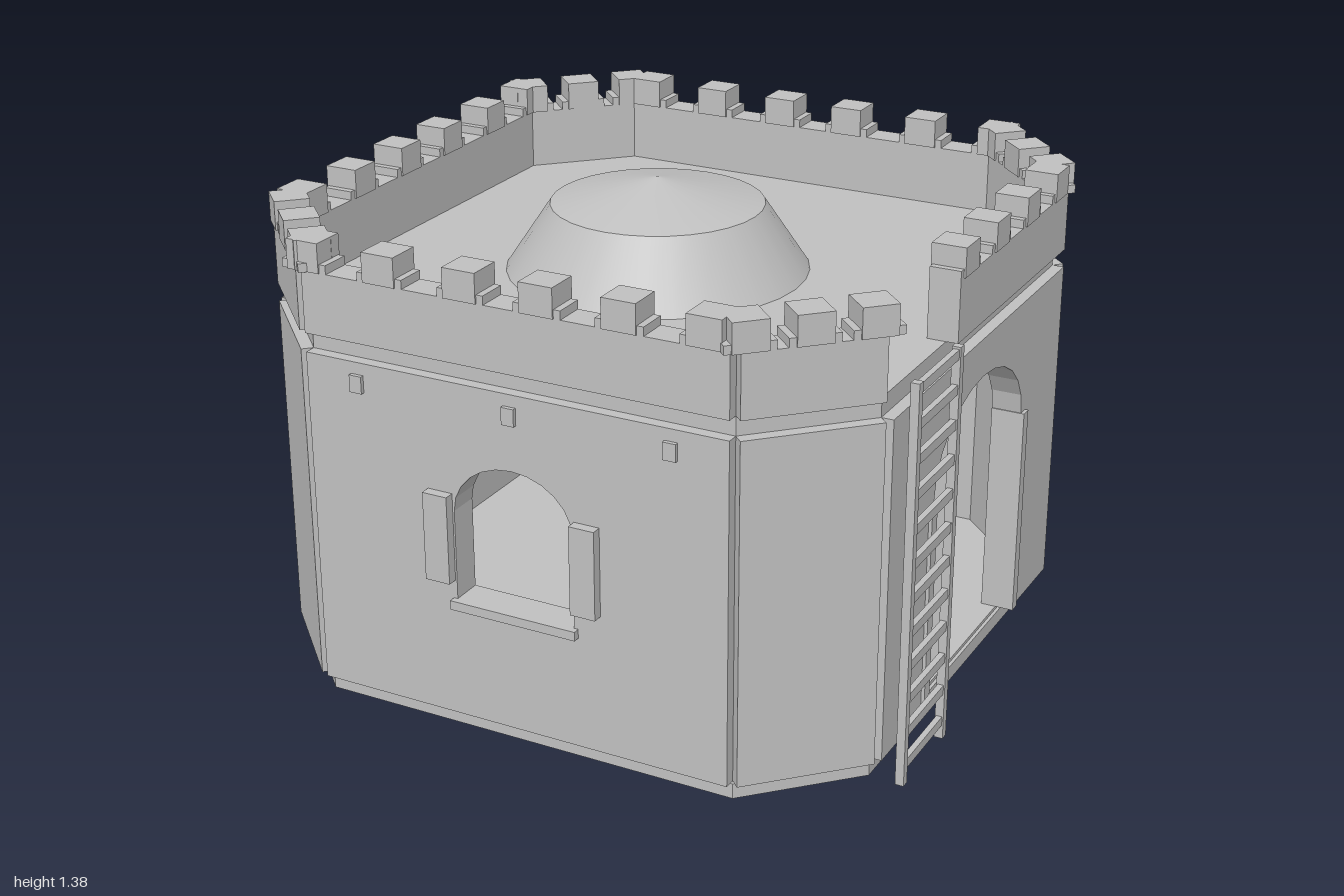
import * as THREE from 'three';

const R = 0.915, F = 0.64;                       // octagon: half width, half length of a main side
const OUT = 0.035, THICK = 0.09;                 // wall projection and thickness

export function createModel() {
  const stone = new THREE.MeshStandardMaterial({ color: 0xc0c0c0 });
  stone.name = 'stone';
  const model = new THREE.Group();
  model.name = 'castleKeep';
  const castle = new THREE.Group();
  castle.name = 'castle';
  castle.position.set(-0.02, 0, -0.01);
  model.add(castle);

  const add = (parent, name, geometry, x = 0, y = 0, z = 0) => {
    const m = new THREE.Mesh(geometry, stone);
    m.name = name;
    m.position.set(x, y, z);
    parent.add(m);
    return m;
  };
  // box given by its extents
  const box = (parent, name, x0, x1, y0, y1, z0, z1) =>
    add(parent, name, new THREE.BoxGeometry(x1 - x0, y1 - y0, z1 - z0),
      (x0 + x1) / 2, (y0 + y1) / 2, (z0 + z1) / 2);

  // octagonal slab
  const slab = (name, r, y0, y1) => {
    const s = new THREE.Shape([[r, -F], [r, F], [F, r], [-F, r], [-r, F], [-r, -F], [-F, -r], [F, -r]]
      .map(p => new THREE.Vector2(...p)));
    const g = new THREE.ExtrudeGeometry(s, { depth: y1 - y0, bevelEnabled: false }).rotateX(-Math.PI / 2);
    add(castle, name, g, 0, y0, 0);
  };
  slab('base', R, 0, 0.045);
  slab('floor', R - 0.01, 0.045, 0.055);
  slab('roofDeck', R, 1.055, 1.11);

  // points over an arch, from right foot to left foot
  const arch = (half, y0, spring, top) => {
    const pts = [new THREE.Vector2(half, y0)];
    for (let i = 0; i <= 12; i++) {
      const a = Math.PI * i / 12;
      pts.push(new THREE.Vector2(half * Math.cos(a), spring + (top - spring) * Math.sin(a)));
    }
    pts.push(new THREE.Vector2(-half, y0));
    return pts;
  };

  // wall panel, optionally with a window or door opening
  const wall = (side, half, opening) => {
    const y0 = 0.055, y1 = 1.055;
    const v = (x, y) => new THREE.Vector2(x, y);
    let shape;
    if (opening === 'door') {
      shape = new THREE.Shape([v(-half, y0), ...arch(0.335, y0, 0.7, 0.94).reverse(),
        v(half, y0), v(half, y1), v(-half, y1)]);
    } else {
      shape = new THREE.Shape([v(-half, y0), v(half, y0), v(half, y1), v(-half, y1)]);
      if (opening === 'window') shape.holes.push(new THREE.Path(arch(0.183, 0.415, 0.68, 0.835)));
    }
    add(side, 'wall', new THREE.ExtrudeGeometry(shape, { depth: THICK, bevelEnabled: false }),
      0, 0, OUT - THICK);
  };

  const merlon = (side, u) => {
    box(side, 'merlonShoulder', u - 0.07, u + 0.07, 1.29, 1.315, OUT - THICK, OUT);
    box(side, 'merlon', u - 0.05, u + 0.05, 1.29, 1.375, OUT - THICK - 0.005, OUT + 0.005);
  };

  const openings = ['window', 'door', 'door', 'window'];   // front, left, back, right
  for (let i = 0; i < 8; i++) {
    const main = i % 2 === 0;
    const half = main ? F : (R - F) / Math.SQRT2;
    const opening = main ? openings[i / 2] : null;
    const turn = new THREE.Group();
    turn.name = main ? 'mainSide' : 'cornerSide';
    turn.rotation.y = i * Math.PI / 4;
    castle.add(turn);
    const side = new THREE.Group();
    side.name = 'sideParts';
    side.position.z = main ? R : (R + F) / Math.SQRT2;
    turn.add(side);

    wall(side, half, opening);

    // parapet, left open where the ladder arrives
    const start = i === 2 ? -0.21 : -half;
    box(side, 'parapet', start, half, 1.11, 1.29, OUT - THICK, OUT);
    const spots = main ? [-0.63, -0.39, -0.14, 0.09, 0.33, 0.57] : [-0.17, 0, 0.17];
    for (const u of spots) if (u > start - 0.02) merlon(side, u);

    if (opening === 'window') {
      for (const s of [-1, 1]) {
        const x = s * 0.226;
        box(side, 'shutter', x - 0.038, x + 0.038, 0.47, 0.73, OUT, 0.065);
      }
      box(side, 'windowSill', -0.195, 0.195, 0.388, 0.415, OUT - THICK, 0.055);
    }
    if (opening === 'door') {
      for (const s of [-1, 1]) {
        const x = s * 0.35;
        box(side, 'doorJamb', x - 0.018, x + 0.018, 0.055, 0.7, OUT - THICK, OUT + 0.01);
      }
    }
    // small beam ends under the roof on front and back
    if (i === 0 || i === 4) {
      for (const u of [-0.476, 0, 0.476]) box(side, 'beamEnd', u - 0.019, u + 0.019, 0.97, 1.02, OUT, OUT + 0.012);
    }
  }

  // door leaf standing open inside the left doorway
  const leafShape = new THREE.Shape();
  leafShape.moveTo(0.58, 0.055);
  leafShape.lineTo(0.89, 0.055);
  leafShape.lineTo(0.89, 0.94);
  leafShape.quadraticCurveTo(0.64, 0.93, 0.58, 0.7);
  add(castle, 'doorLeaf', new THREE.ExtrudeGeometry(leafShape, { depth: 0.05, bevelEnabled: false }), 0, 0, 0.035);

  // roof dome: sloped drum with a shallow conical cap
  const drum = new THREE.CylinderGeometry(0.31, 0.44, 0.195, 32, 1, true);
  add(model, 'domeDrum', drum, -0.07, 1.2075, 0.025);
  add(model, 'domeCap', new THREE.ConeGeometry(0.31, 0.075, 32, 1, true), -0.07, 1.3425, 0.025);

  // ladder
  const ladder = new THREE.Group();
  ladder.name = 'ladder';
  model.add(ladder);
  for (const z of [0.35, 0.628]) box(ladder, 'ladderRail', 0.975, 1, 0, 1.17, z - 0.012, z + 0.012);
  for (let k = 0; k < 12; k++) {
    const y = 0.055 + k * 0.0995;
    if (y < 1.15) box(ladder, 'ladderRung', 0.979, 0.996, y - 0.014, y + 0.014, 0.362, 0.616);
  }
  return model;
}
